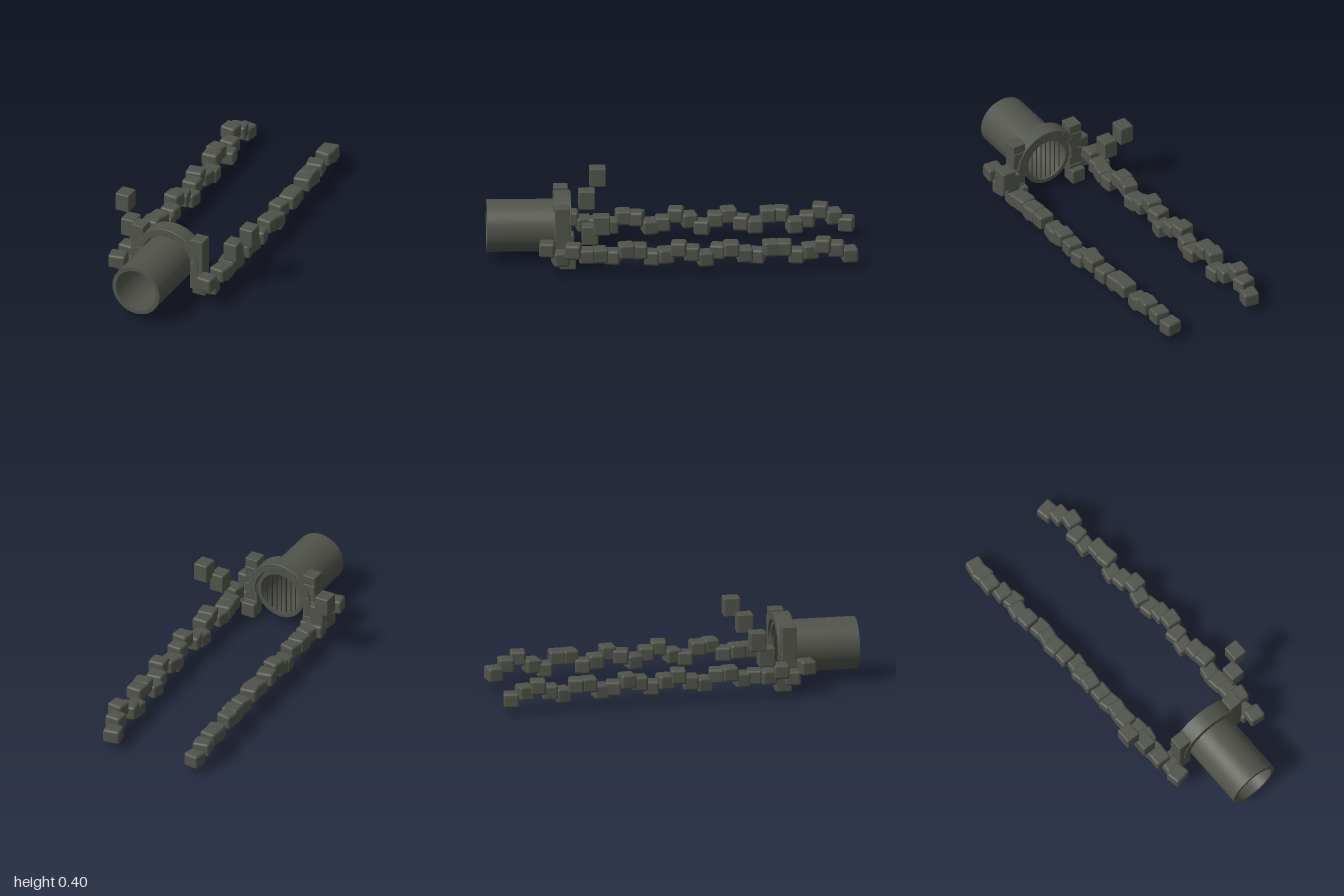
import * as THREE from 'three';
import { RoundedBoxGeometry } from 'three/addons/geometries/RoundedBoxGeometry.js';

export function createModel() {
  const model = new THREE.Group();
  const stone = new THREE.MeshStandardMaterial({ color: 0x50534a });
  stone.name = 'mossy stone';
  const iron = new THREE.MeshStandardMaterial({ color: 0x33352e });
  iron.name = 'dark iron';
  const axisY = 0.194;

  function add(parent, name, geometry, material, x, y, z) {
    const mesh = new THREE.Mesh(geometry, material);
    mesh.name = name;
    mesh.position.set(x, y, z);
    parent.add(mesh);
    return mesh;
  }
  function block(parent, name, w, h, d, x, y, z, r = 0.008) {
    return add(parent, name, new RoundedBoxGeometry(w, h, d, 2, r), stone, x, y, z);
  }
  function group(name) {
    const g = new THREE.Group();
    g.name = name;
    model.add(g);
    return g;
  }

  // Hollow outlet pipe, open at both ends
  const ring = new THREE.Shape().absarc(0, 0, 0.142, 0, Math.PI * 2, false);
  ring.holes.push(new THREE.Path().absarc(0, 0, 0.12, 0, Math.PI * 2, true));
  add(model, 'pipe', new THREE.ExtrudeGeometry(ring, {
    depth: 0.44, bevelEnabled: false, curveSegments: 40,
  }), stone, 0, axisY, 0.56);

  // Grille bars across the rear mouth
  const grille = group('grille');
  for (let i = -3; i <= 3; i++) {
    const x = i * 0.029;
    const length = 2 * Math.sqrt(0.123 ** 2 - x * x);
    add(grille, 'grilleBar', new THREE.CylinderGeometry(0.0032, 0.0032, length, 8), iron, x, axisY, 0.575);
  }

  // Arch of wedge stones
  const arch = group('arch');
  const half = Math.PI / 16 - 0.006;
  const wedge = new THREE.Shape();
  wedge.absarc(0, 0, 0.187, -half, half, false);
  wedge.absarc(0, 0, 0.149, half, -half, true);
  wedge.closePath();
  const wedgeGeometry = new THREE.ExtrudeGeometry(wedge, {
    depth: 0.09, curveSegments: 4, bevelThickness: 0.002, bevelSize: 0.002, bevelSegments: 1,
  });
  for (let i = 0; i <= 8; i++) {
    add(arch, 'archStone', wedgeGeometry, stone, 0, axisY, 0.548).rotation.z = i * Math.PI / 8;
  }

  // Pillars beside the pipe, coursed on the back, each with a foot stone
  for (const side of [-1, 1]) {
    const pillar = group(side < 0 ? 'rightPillar' : 'leftPillar');
    block(pillar, 'pillarCore', 0.077, 0.305, 0.078, side * 0.179, 0.2075, 0.597, 0.005);
    for (let i = 0; i < 6; i++) {
      block(pillar, 'pillarCourse', 0.075, 0.05, 0.08, side * 0.179, 0.081 + i * 0.0508, 0.592 + (i % 2) * 0.004, 0.004);
    }
    const bottom = side < 0 ? 0 : 0.012;
    block(pillar, 'footStone', 0.081, 0.085, 0.09, side * 0.181, bottom + 0.0425, 0.567);
  }

  // Bank stones, listed from the back: offsets from the centre line and heights
  const rightX = [0.33, 0.34, 0.35, 0.32, 0.3, 0.33, 0.32, 0.29, 0.295, 0.31, 0.295, 0.27,
    0.29, 0.295, 0.28, 0.275, 0.28, 0.285, 0.26, 0.255, 0.275, 0.28, 0.25, 0.27];
  const leftX = [0.175, 0.2, 0.225, 0.2, 0.2, 0.23, 0.235, 0.21, 0.23, 0.255, 0.23, 0.245,
    0.26, 0.27, 0.25, 0.24, 0.265, 0.275, 0.25, 0.25, 0.26, 0.275, 0.25, 0.267];
  const heights = [0.075, 0.115, 0.145, 0.105, 0.08, 0.135, 0.135, 0.085, 0.1, 0.14, 0.12, 0.085,
    0.12, 0.148, 0.105, 0.09, 0.135, 0.142, 0.1, 0.11, 0.11, 0.14, 0.092, 0.151];
  for (const [side, offsets] of [[-1, rightX], [1, leftX]]) {
    const row = group(side < 0 ? 'rightBank' : 'leftBank');
    offsets.forEach((x, i) => {
      const wobble = Math.sin(i * 2.3 + side);
      const rock = block(row, 'bankStone', 0.092 + 0.004 * wobble, 0.08, 0.085,
        side * x, heights[i], -0.953 + i * 0.071, 0.014);
      rock.rotation.y = 0.2 * wobble;
    });
  }

  // Upright stones stepping above each bank
  const uprights = [[-0.375, 0.343, 0.39], [-0.311, 0.235, 0.45], [0.375, 0.325, 0.39], [0.31, 0.248, 0.45]];
  for (const [x, y, z] of uprights) {
    block(model, 'uprightStone', 0.081, 0.106, 0.09, x, y, z);
  }

  return model;
}
